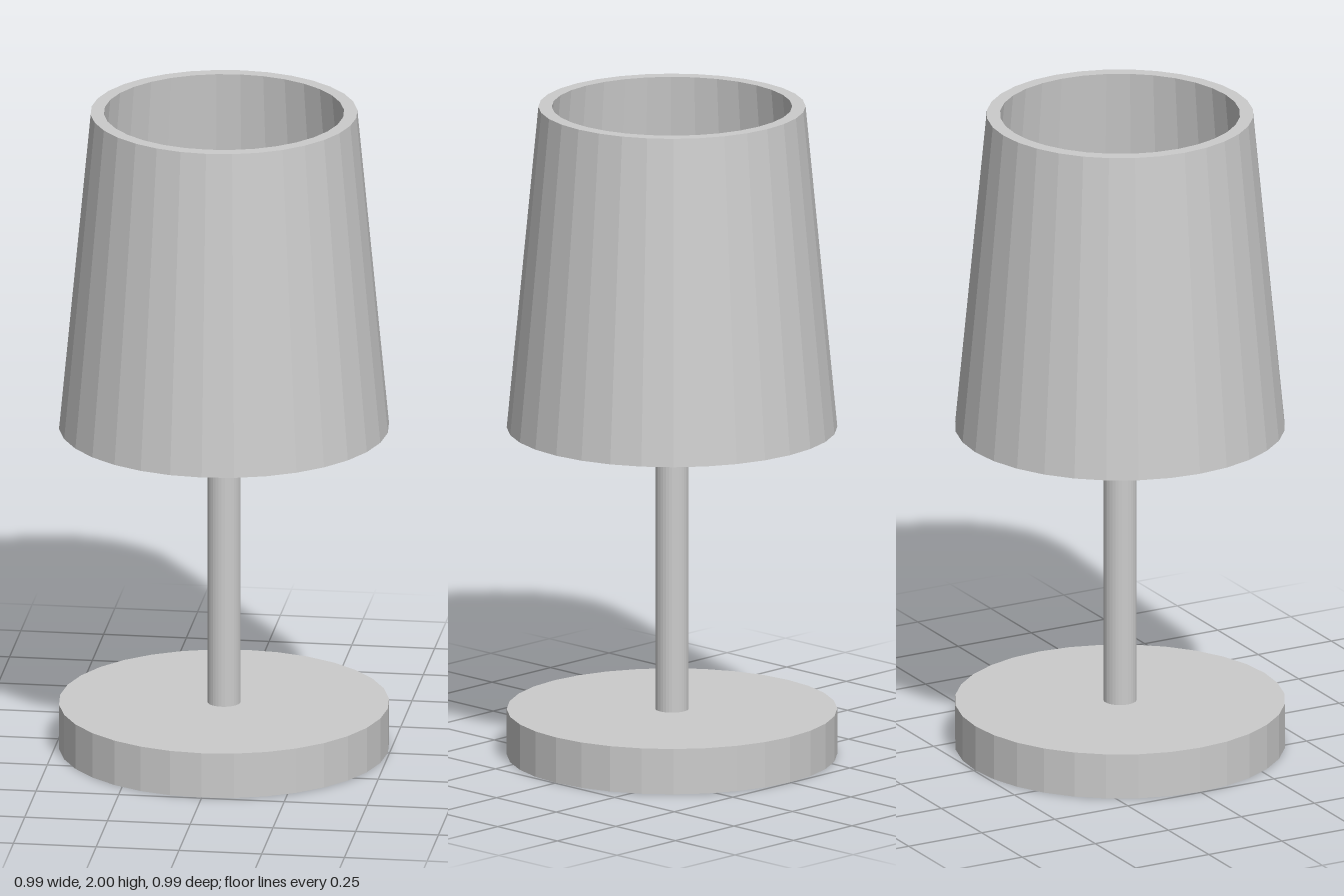
import * as THREE from 'three';

const SIDES = 32;

export function createModel() {
  const lamp = new THREE.Group();
  lamp.name = 'tableLamp';
  const grey = new THREE.MeshStandardMaterial({ color: 0xcccccc, flatShading: true });
  const yellow = new THREE.MeshStandardMaterial({ color: 0xe6dc8c, flatShading: true });

  const add = (name, geometry, y, z = 0, material = grey) => {
    const mesh = new THREE.Mesh(geometry, material);
    mesh.name = name;
    mesh.position.set(0, y, z);
    lamp.add(mesh);
    return mesh;
  };

  // Round foot and the pole that rises into the bulb
  add('base', new THREE.CylinderGeometry(0.495, 0.495, 0.14, SIDES), 0.07);
  add('pole', new THREE.CylinderGeometry(0.05, 0.05, 1.24, SIDES), 0.76);

  // Tapered shade with wall thickness, open at both ends
  const wall = [[0.495, 1.01], [0.4, 2], [0.36, 2], [0.448, 1.01], [0.495, 1.01]];
  add('shade', new THREE.LatheGeometry(wall.map(([r, y]) => new THREE.Vector2(r, y)), SIDES), 0);

  // Crossed bars holding the shade, ending inside its wall
  add('crossBarSide', new THREE.BoxGeometry(0.84, 0.04, 0.04), 1.52, -0.015);
  add('crossBarFront', new THREE.BoxGeometry(0.04, 0.04, 0.84), 1.52);

  // Faceted bulb, turned so that one corner points straight up
  const bulb = add('bulb', new THREE.IcosahedronGeometry(0.2, 1), 1.52, 0, yellow);
  bulb.rotation.z = -Math.atan(2 / (1 + Math.sqrt(5)));

  return lamp;
}
